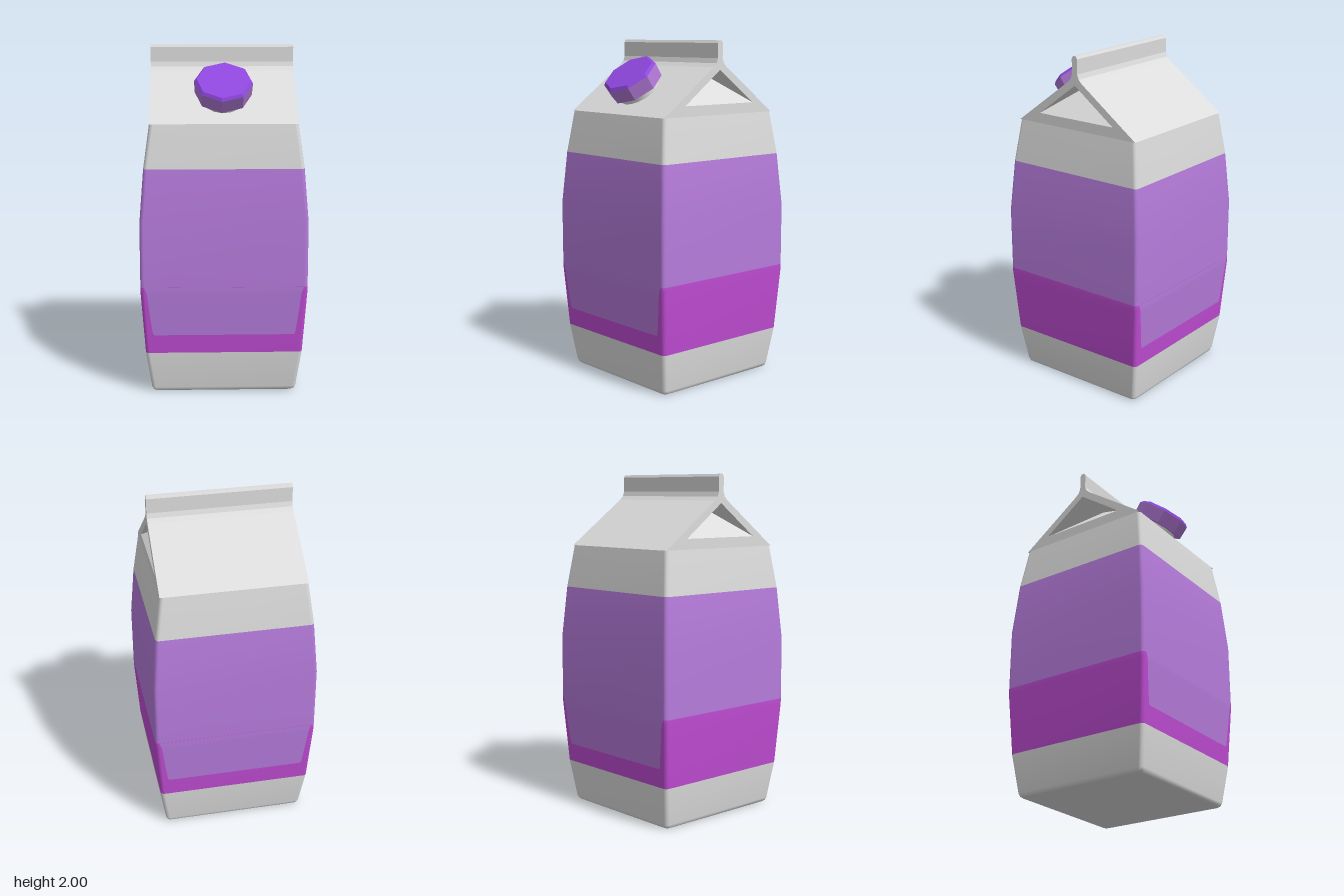
import * as THREE from 'three';

const mat = (name, color) => Object.assign(new THREE.MeshStandardMaterial({ color }), { name });

// Half-width of the bulging carton at each height
const PROFILE = [[0, 0.405], [0.008, 0.416], [0.025, 0.423], [0.25, 0.455], [0.62, 0.48], [0.65, 0.48],
  [1.02, 0.48], [1.33, 0.455], [1.58, 0.42]];

function halfWidth(y) {
  const i = Math.max(1, PROFILE.findIndex(p => p[0] >= y));
  const [y0, w0] = PROFILE[i - 1], [y1, w1] = PROFILE[i];
  return w0 + (w1 - w0) * (y - y0) / (y1 - y0);
}

function indexed(positions, index) {
  const g = new THREE.BufferGeometry();
  g.setAttribute('position', new THREE.Float32BufferAttribute(positions, 3));
  g.setIndex(index);
  g.computeVertexNormals();
  return g;
}

// Rounded-square rings joined into one skin, with a material group per band
function bodyGeometry() {
  const pos = [], index = [], r = 0.022, seg = 3, n = 4 * (seg + 1);
  for (const [y, w] of PROFILE) {
    for (let c = 0; c < 4; c++) {
      const mid = (c + 0.5) * Math.PI / 2;
      for (let k = 0; k <= seg; k++) {
        const a = (c + k / seg) * Math.PI / 2;
        pos.push(Math.sign(Math.cos(mid)) * (w - r) + r * Math.cos(a), y,
          Math.sign(Math.sin(mid)) * (w - r) + r * Math.sin(a));
      }
    }
  }
  const centre = pos.length / 3;
  pos.push(0, 0, 0);
  for (let j = 0; j < n; j++) index.push(centre, j, (j + 1) % n);
  const groups = [[0, index.length, 0]];
  for (let i = 0; i < PROFILE.length - 1; i++) {
    const start = index.length, y = PROFILE[i][0];
    for (let j = 0; j < n; j++) {
      const a = i * n + j, b = i * n + (j + 1) % n;
      index.push(a, a + n, b, b, a + n, b + n);
    }
    const band = y < 0.25 || y >= 1.33 ? 0 : y < 0.65 ? 2 : 1;
    groups.push([start, index.length - start, band]);
  }
  const g = indexed(pos, index);
  groups.forEach(([s, c, m]) => g.addGroup(s, c, m));
  return g;
}

// Thin label panel that follows the bulge and leaves a U of band colour
function panelGeometry() {
  const rows = [[0.36, 0.402], [0.37, 0.412], [0.5, 0.43], [0.6, 0.442], [0.62, 0.446], [0.637, 0.452], [0.65, 0.46]];
  const pos = [], index = [];
  rows.forEach(([y, w], i) => {
    const z = halfWidth(y) + 0.002;
    pos.push(-w, y, z, w, y, z);
    if (i) {
      const a = 2 * i - 2;
      index.push(a, a + 1, a + 3, a, a + 3, a + 2);
    }
  });
  return indexed(pos, index);
}

// Gable roof and top seam in one extrusion, with a triangular opening
function roofGeometry() {
  const half = [[0.42, 1.58], [0.05, 1.85], [0.028, 1.872], [0.019, 1.9], [0.019, 1.985], [0.01, 2]];
  const mirrored = half.map(([x, y]) => [-x, y]).reverse();
  const shape = new THREE.Shape([...half, ...mirrored].map(p => new THREE.Vector2(...p)));
  shape.holes.push(new THREE.Path([[-0.265, 1.64], [0, 1.835], [0.265, 1.64]].map(p => new THREE.Vector2(...p))));
  const g = new THREE.ExtrudeGeometry(shape, { depth: 0.84, bevelEnabled: false });
  return g.translate(0, 0, -0.42).rotateY(Math.PI / 2);
}

export function createModel() {
  const white = mat('carton white', 0xdcdcdc);
  const lilac = mat('label lilac', 0xb57bdb);
  const magenta = mat('band magenta', 0xc04cd4);
  const violet = mat('cap violet', 0x9048e0);

  const model = new THREE.Group();
  model.name = 'carton';
  const add = (name, geometry, material, parent = model) => {
    const m = new THREE.Mesh(geometry, material);
    m.name = name;
    parent.add(m);
    return m;
  };

  add('body', bodyGeometry(), [white, lilac, magenta]);
  add('gableRoof', roofGeometry(), white);

  // Front and back label panels, and the folded-in flap at each gable end
  for (const [i, side] of ['front', 'back'].entries()) {
    add(side + 'LabelPanel', panelGeometry(), lilac).rotation.y = i * Math.PI;
    const flap = indexed([0.42, 1.64, 0.265, 0.42, 1.64, -0.265, 0.2, 1.835, 0], [0, 1, 2]);
    add(i ? 'rightFlap' : 'leftFlap', flap, white).rotation.y = i * Math.PI;
  }

  // Screw cap standing square to the front roof panel
  const cap = new THREE.Group();
  cap.name = 'screwCap';
  cap.position.set(0, 1.706, 0.247);
  cap.rotation.set(0.63, -0.07, 0);
  model.add(cap);
  const cyl = (name, rTop, rBottom, y0, y1, sides, material) => {
    const g = new THREE.CylinderGeometry(rTop, rBottom, y1 - y0, sides);
    add(name, g.toNonIndexed().translate(0, (y0 + y1) / 2, 0), material, cap);
  };
  cyl('neck', 0.125, 0.125, -0.02, 0.06, 16, white);
  for (const [name, rTop, rBottom, y0, y1, material] of [
    ['capSide', 0.167, 0.163, 0.037, 0.122, lilac],
    ['capTop', 0.152, 0.167, 0.122, 0.138, violet]]) {
    cyl(name, rTop, rBottom, y0, y1, 8, material);
    cap.children.at(-1).geometry.computeVertexNormals();
  }
  return model;
}
